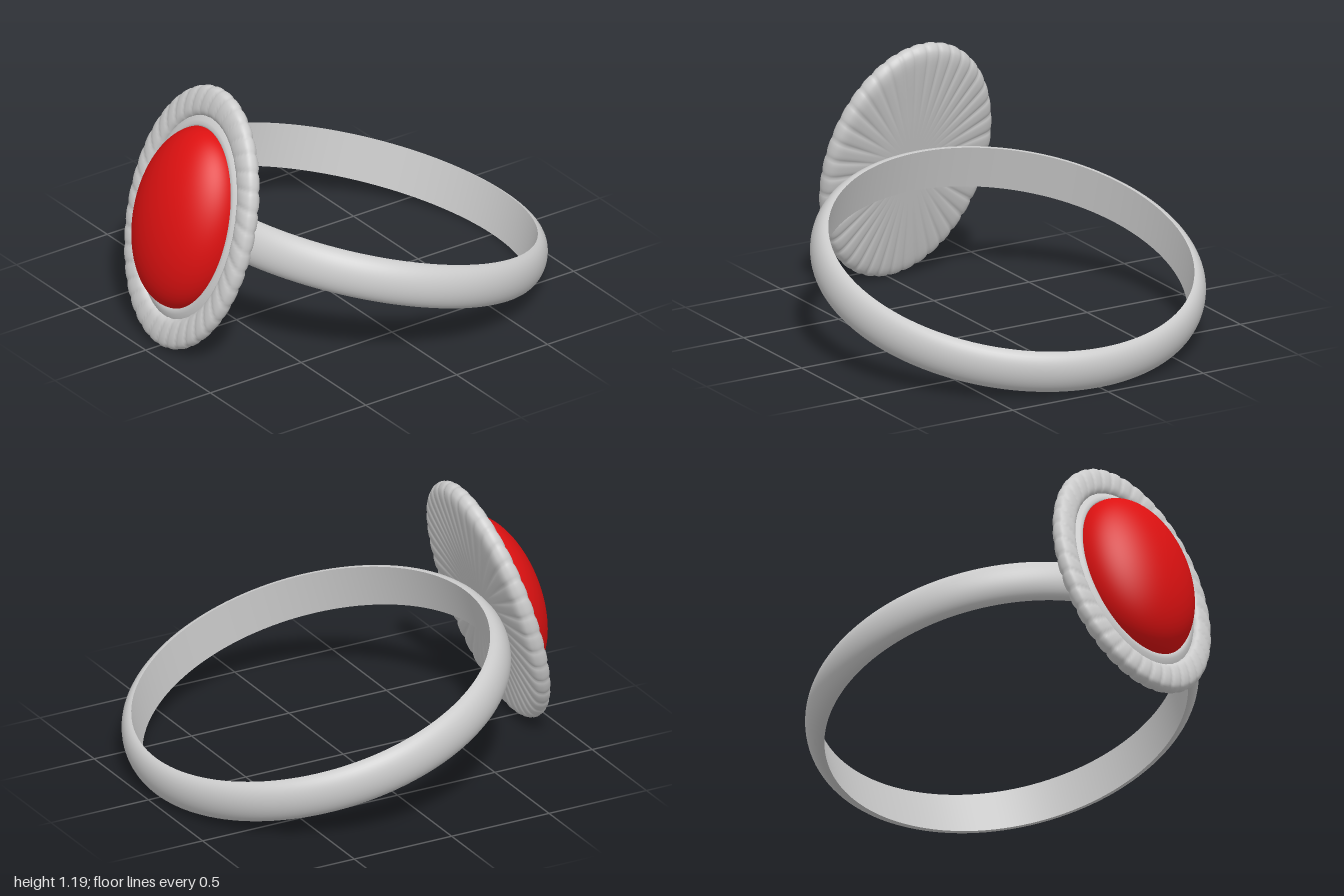
import * as THREE from 'three';
import { mergeVertices } from 'three/addons/utils/BufferGeometryUtils.js';

const V = (x, y) => new THREE.Vector2(x, y);
const metal = new THREE.MeshStandardMaterial({ color: 0xcccccc });
const red = new THREE.MeshStandardMaterial({ color: 0xdd1111 });

function part(name, geometry, material, parent) {
  const mesh = new THREE.Mesh(geometry, material);
  mesh.name = name;
  parent.add(mesh);
  return mesh;
}

// Lathe turned so that its axis points forward, squeezed to an oval
const OVAL = 0.7;
const ovalLathe = (points, segments) =>
  new THREE.LatheGeometry(points, segments).rotateX(Math.PI / 2).scale(OVAL, 1, 1);

// Oval plate: flat back, rounded rim with slanted flutes
function flutedPlate(R) {
  const profile = new THREE.SplineCurve([
    V(0, -0.052), V(0.4, -0.052), V(0.8, -0.05), V(0.94, -0.042), V(0.99, -0.02), V(1, 0.004),
    V(0.98, 0.027), V(0.93, 0.039), V(0.87, 0.042), V(0.81, 0.037), V(0.775, 0.022), V(0.765, 0),
  ]).getPoints(44).map(p => V(Math.max(0, p.x) * R, p.y));
  const g = new THREE.LatheGeometry(profile, 320);
  const pos = g.attributes.position;
  for (let i = 0; i < pos.count; i++) {
    const x = pos.getX(i), y = pos.getY(i), z = pos.getZ(i);
    const r = Math.hypot(x, z) / R, a = Math.atan2(z, x);
    const fade = THREE.MathUtils.smoothstep(r, 0.3, 0.9);
    const slant = y > 0 ? (1 - r) * 9 : 0;
    // narrow grooves between broad rounded flutes
    const groove = 1 - Math.abs(Math.sin(20 * a + slant));
    const depth = groove * groove * fade;
    const k = 1 - 0.009 * depth;
    pos.setXYZ(i, x * k, y * (1 - 0.15 * depth), z * k);
  }
  g.deleteAttribute('uv');
  g.deleteAttribute('normal');
  const smooth = mergeVertices(g, 1e-5).rotateX(Math.PI / 2).scale(OVAL, 1, 1);
  smooth.computeVertexNormals();
  return smooth;
}

export function createModel() {
  const model = new THREE.Group();
  const ring = new THREE.Group();
  ring.name = 'ring';
  ring.position.set(0, 0.345, -0.138);
  ring.rotation.x = THREE.MathUtils.degToRad(-16.2);
  model.add(ring);

  // Band: domed outside, flat inside
  const inner = 0.83, bulge = 0.066, half = 0.104;
  const dome = [];
  for (let i = 0; i <= 20; i++) {
    const t = -Math.PI / 2 + (Math.PI * i) / 20;
    dome.push(V(inner + bulge * Math.cos(t), half * Math.sin(t)));
  }
  part('bandOuter', new THREE.LatheGeometry(dome, 128), metal, ring);
  part('bandInner', new THREE.LatheGeometry([V(inner, half), V(inner, -half)], 128), metal, ring);

  // Setting at the front of the band
  const setting = new THREE.Group();
  setting.name = 'setting';
  setting.position.set(0, 0.008, 0.924);
  ring.add(setting);
  const R = 0.618;
  part('flutedPlate', flutedPlate(R), metal, setting);

  // Smooth bezel around the stone
  const bezel = [V(0.8, 0.005), V(0.77, 0.018), V(0.735, 0.03), V(0.705, 0.034), V(0.685, 0.028), V(0.66, 0.005)];
  part('bezel', ovalLathe(bezel.map(p => V(p.x * R, p.y)), 96), metal, setting);

  // Oval domed stone
  const stone = [];
  for (let i = 0; i <= 28; i++) {
    const t = (Math.PI / 2) * (i / 28);
    stone.push(V(0.428 * Math.cos(t), 0.016 + 0.21 * Math.sin(t)));
  }
  stone[28].x = 0;
  part('stone', ovalLathe(stone, 96), red, setting);
  return model;
}
